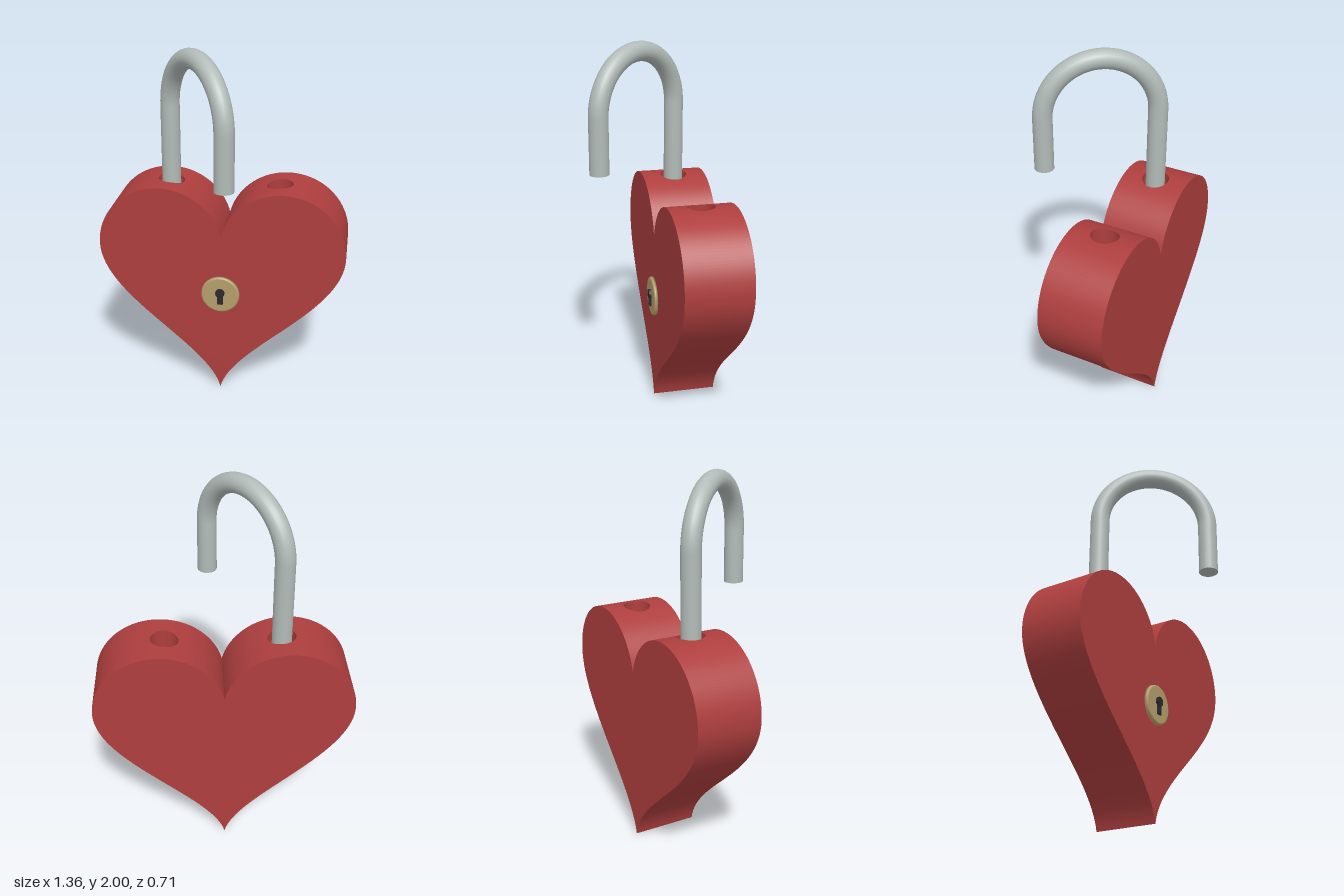
import * as THREE from 'three';

const mat = (name, color) => Object.assign(new THREE.MeshStandardMaterial({ color }), { name });

const DEPTH = 0.353, H = DEPTH / 2;
const LOBE = { x: 0.335, y: 0.885, r: 0.345 };   // round upper part of each half
const HOLE = { x: 0.3, r: 0.073, half: 0.1, floor: 0.85 };
const lobeHeight = (x) => LOBE.y + Math.sqrt(LOBE.r ** 2 - (x - LOBE.x) ** 2);
const lobeAngle = (x) => Math.acos((x - LOBE.x) / LOBE.r);

// Points along the lobe between two angles
function lobeArc(a0, a1, n) {
  return Array.from({ length: n + 1 }, (_, i) => {
    const a = a0 + (a1 - a0) * i / n;
    return new THREE.Vector2(LOBE.x + LOBE.r * Math.cos(a), LOBE.y + LOBE.r * Math.sin(a));
  });
}

// Lower flank from the tip to the widest point
const flank = new THREE.CubicBezierCurve(
  new THREE.Vector2(0, 0), new THREE.Vector2(0.06, 0.28),
  new THREE.Vector2(0.68, 0.55), new THREE.Vector2(0.68, LOBE.y)).getPoints(32);

function indexed(positions, index) {
  const g = new THREE.BufferGeometry();
  g.setAttribute('position', new THREE.Float32BufferAttribute(positions, 3));
  g.setIndex(index);
  g.computeVertexNormals();
  return g;
}

// Smooth wall along an outline, from the front edge to the back edge
function wall(points) {
  const pos = [], idx = [];
  points.forEach((p, i) => {
    pos.push(p.x, p.y, H, p.x, p.y, -H);
    const k = i * 2;
    if (i < points.length - 1) idx.push(k, k + 1, k + 2, k + 2, k + 1, k + 3);
  });
  return indexed(pos, idx);
}

// Curved top patch with a round opening, in rings from circle to rectangle
function holedPatch() {
  const pos = [], idx = [], side = 16, rings = 5, n = side * 4, a = HOLE.half;
  const corners = [[a, H], [a, -H], [-a, -H], [-a, H], [a, H]];
  for (let i = 0; i <= n; i++) {
    const c = Math.min(3, Math.floor(i / side)), t = i / side - c;
    const ox = THREE.MathUtils.lerp(corners[c][0], corners[c + 1][0], t);
    const oz = THREE.MathUtils.lerp(corners[c][1], corners[c + 1][1], t);
    const inner = HOLE.r / Math.hypot(ox, oz);
    for (let j = 0; j <= rings; j++) {
      const s = THREE.MathUtils.lerp(inner, 1, j / rings), x = HOLE.x + ox * s;
      pos.push(x, lobeHeight(x), oz * s);
      if (i < n && j < rings) {
        const k = i * (rings + 1) + j, m = k + rings + 1;
        idx.push(k, k + 1, m + 1, k, m + 1, m);
      }
    }
  }
  const g = indexed(pos, idx), p = g.attributes.position;
  for (let i = 0; i < p.count; i++) {
    g.attributes.normal.setXYZ(i, (p.getX(i) - LOBE.x) / LOBE.r, (p.getY(i) - LOBE.y) / LOBE.r, 0);
  }
  return g;
}

// Bore lining whose rim follows the curved top
function bore() {
  const g = new THREE.CylinderGeometry(HOLE.r, HOLE.r, 1, 48, 1, true).translate(HOLE.x, 0, 0);
  const p = g.attributes.position;
  for (let i = 0; i < p.count; i++) p.setY(i, p.getY(i) > 0 ? lobeHeight(p.getX(i)) : HOLE.floor);
  return g;
}

export function createModel() {
  const model = new THREE.Group();
  model.name = 'heartPadlock';
  const red = mat('heartRed', 0xae3e3e);
  red.side = THREE.DoubleSide;
  const steel = mat('steel', 0xb2bbb8);
  const brass = mat('brass', 0xb5a06c);
  const dark = mat('keyholeDark', 0x2b2b30);
  const add = (parent, name, geometry, material, x = 0, y = 0, z = 0) => {
    const m = new THREE.Mesh(geometry, material);
    m.name = name;
    m.position.set(x, y, z);
    parent.add(m);
    return m;
  };

  // Heart body: a half turn about the vertical axis gives the other half
  const notch = lobeAngle(0);
  const rightSide = [...flank, ...lobeArc(0, notch, 64).slice(1)];
  const leftSide = rightSide.slice(1, -1).reverse().map((p) => new THREE.Vector2(-p.x, p.y));
  const face = new THREE.ShapeGeometry(new THREE.Shape([...rightSide, ...leftSide]));
  const outerWall = wall([...flank, ...lobeArc(0, lobeAngle(HOLE.x + HOLE.half), 28).slice(1)]);
  const innerWall = wall(lobeArc(lobeAngle(HOLE.x - HOLE.half), notch, 24));
  const patch = holedPatch(), lining = bore();
  const floor = new THREE.CircleGeometry(HOLE.r, 48).rotateX(-Math.PI / 2);
  for (const name of ['bodyFrontHalf', 'bodyBackHalf']) {
    const half = new THREE.Group();
    half.name = name;
    half.position.z = -H;
    half.rotation.y = name === 'bodyBackHalf' ? Math.PI : 0;
    add(half, 'heartFace', face, red, 0, 0, H);
    add(half, 'outerWall', outerWall, red);
    add(half, 'innerWall', innerWall, red);
    add(half, 'holedTop', patch, red);
    add(half, 'shackleHole', lining, red);
    add(half, 'holeFloor', floor, red, HOLE.x, HOLE.floor, 0);
    model.add(half);
  }

  // Open shackle, swung forward about its long leg
  const shackle = new THREE.Group();
  shackle.name = 'shackle';
  const R = 0.3, r = 0.052, archY = 1.648;
  shackle.position.set(-0.117, 0, 0.063);
  shackle.rotation.y = -Math.atan2(0.475, 0.366);
  add(shackle, 'arch', new THREE.TorusGeometry(R, r, 20, 48, Math.PI), steel, 0, archY, 0);
  for (const [name, x, bottom] of [['longLeg', -R, 0.9], ['freeLeg', R, 1.357]]) {
    const length = archY - bottom;
    add(shackle, name, new THREE.CylinderGeometry(r, r, length, 20), steel, x, bottom + length / 2, 0);
  }
  model.add(shackle);

  // Brass lock plate with a rounded rim
  const plate = [[0, 0], [0.107, 0], [0.107, 0.012], [0.104, 0.017], [0.098, 0.019]]
    .map(([x, y]) => new THREE.Vector2(x, y));
  add(model, 'lockPlate', new THREE.LatheGeometry(plate, 48).rotateX(Math.PI / 2), brass, 0, 0.62, 0);
  add(model, 'lockPlateFace', new THREE.CircleGeometry(0.098, 48), brass, 0, 0.62, 0.019);

  // Raised keyhole
  add(model, 'keyholeHead', new THREE.CylinderGeometry(0.026, 0.026, 0.02, 12).rotateX(Math.PI / 2), dark, 0, 0.635, 0.022);
  add(model, 'keyholeSlot', new THREE.BoxGeometry(0.032, 0.07, 0.016), dark, 0, 0.6, 0.02);
  return model;
}
